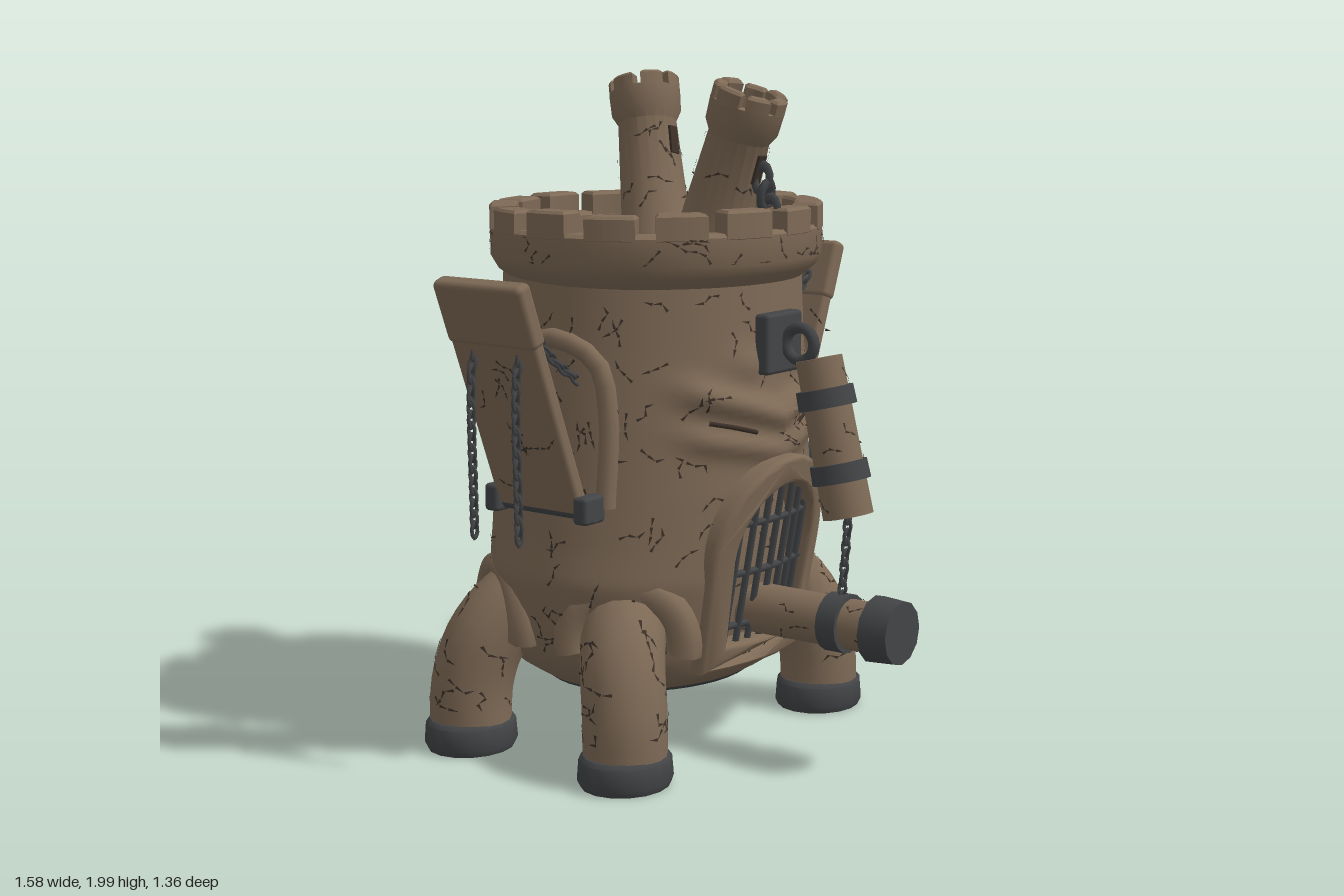
import * as THREE from 'three';
import { toCreasedNormals } from 'three/addons/utils/BufferGeometryUtils.js';
import { RoundedBoxGeometry } from 'three/addons/geometries/RoundedBoxGeometry.js';

const V = (x, y, z) => new THREE.Vector3(x, y, z);
const V2 = pts => pts.map(p => new THREE.Vector2(...p));
const mat = (name, color, side = THREE.FrontSide) => {
  const m = new THREE.MeshStandardMaterial({ color, side });
  m.name = name;
  return m;
};

// Castle wall rows: half width, height, depth to the front, depth to the back
const ZC = -0.21;
const WALL = [[0.36, 0.21, 0.3, 0.32], [0.42, 0.25, 0.37, 0.42], [0.47, 0.31, 0.395, 0.465],
  [0.5, 0.4, 0.42, 0.465], [0.53, 0.55, 0.45, 0.462], [0.515, 0.65, 0.455, 0.46], [0.5, 0.8, 0.46, 0.455],
  [0.485, 1, 0.455, 0.45], [0.47, 1.2, 0.445, 0.44], [0.455, 1.42, 0.44, 0.43]];
const ridge = (d, w) => Math.exp(-((d / w) ** 2));
// Frowning brows and cheeks stand out, the mouth is hollow
function faceRelief(x, y) {
  const ax = Math.abs(x), fade = ridge(Math.max(0, ax - 0.26), 0.06);
  const brow = 0.04 * ridge(y - 1.01 - 0.3 * ax, 0.042) * fade;
  const cheek = 0.028 * ridge(y - 0.91 - 0.2 * ax, 0.035) * fade;
  const forehead = 0.02 * ridge(y - 1.17, 0.05) * ridge(ax - 0.12, 0.06);
  const top = 0.61 + 0.22 * Math.sqrt(Math.max(0, 1 - (x / 0.215) ** 2));
  const mouth = ax < 0.215 && y > 0.33 && y < top ? -0.06 : 0;
  return mouth || brow + cheek + forehead;
}
function wallPoint(a, y, off = 0) {
  let i = 1;
  while (i < WALL.length - 1 && y > WALL[i][1]) i++;
  const lo = WALL[i - 1], hi = WALL[i], t = (y - lo[1]) / (hi[1] - lo[1]);
  const at = k => lo[k] + (hi[k] - lo[k]) * t + off;
  const c = Math.cos(a), x = at(0) * Math.sin(a);
  return V(x, y, ZC + c * at(c > 0 ? 2 : 3) + (c > 0 ? faceRelief(x, y) : 0));
}

export function createModel() {
  const root = new THREE.Group();
  const stone = mat('brown stone', 0x7e6a56);
  const iron = mat('dark iron', 0x424446);
  const crackMat = mat('crack', 0x3b3028, THREE.DoubleSide);
  let seed = 7;
  const rnd = () => (seed = (seed * 16807) % 2147483647) / 2147483647;

  const add = (name, geo, material, parent = root) => {
    const m = new THREE.Mesh(geo, material);
    m.name = name;
    parent.add(m);
    return m;
  };
  const group = (name, parent = root) => {
    const g = new THREE.Group();
    g.name = name;
    parent.add(g);
    return g;
  };
  const tube = (name, pts, r, material = stone, sides = 10) =>
    add(name, new THREE.TubeGeometry(new THREE.CatmullRomCurve3(pts), 20, r, sides), material);
  // Cylinder running from a to b
  const rod = (name, a, b, r0, r1, material, sides = 16) => {
    const m = add(name, new THREE.CylinderGeometry(r1, r0, a.distanceTo(b), sides), material);
    m.position.copy(a).lerp(b, 0.5);
    m.quaternion.setFromUnitVectors(V(0, 1, 0), b.clone().sub(a).normalize());
  };
  // Links alternate by a quarter turn along the curve
  const linkGeo = new THREE.TorusGeometry(0.014, 0.006, 5, 9).scale(0.85, 1.5, 1);
  const chain = (name, pts) => {
    const g = group(name);
    const c = new THREE.CatmullRomCurve3(pts), n = Math.round(c.getLength() / 0.031);
    for (let i = 0; i <= n; i++) {
      const link = add('link', linkGeo, iron, g);
      link.position.copy(c.getPointAt(i / n));
      link.quaternion.setFromUnitVectors(V(0, 1, 0), c.getTangentAt(i / n));
      link.rotateY(i % 2 ? Math.PI / 2 : 0);
    }
  };
  // Jagged ribbons laid on any surface given as (u, v) => point
  const cracks = (name, count, surface, [u0, u1], [v0, v1], du, dv, parent = root) => {
    const pos = [], w = 0.16;
    for (let i = 0; i < count; i++) {
      let u = u0 + rnd() * (u1 - u0), v = v0 + rnd() * (v1 - v0);
      const turn = rnd() * 6.3;
      for (let j = 0; j < 3; j++) {
        const t = turn + (rnd() - 0.5) * 1.8, c = Math.cos(t), s = Math.sin(t);
        const u2 = u + c * du, v2 = Math.min(v1, Math.max(v0, v + s * dv));
        pos.push(...surface(u - s * du * w, v + c * dv * w), ...surface(u + s * du * w, v - c * dv * w), ...surface(u2, v2));
        u = u2; v = v2;
      }
    }
    const g = new THREE.BufferGeometry();
    g.setAttribute('position', new THREE.Float32BufferAttribute(pos, 3));
    g.computeVertexNormals();
    add(name, g, crackMat, parent);
  };
  const TURN = [0, Math.PI * 2];
  // Cracks around a curve from r0 at its start to r1 at its end
  const roundCracks = (name, count, curve, r0, r1, range) => cracks(name, count, (u, v) => {
    const t = curve.getTangentAt(v), e1 = V(1, 0, 0).cross(t).normalize(), e2 = t.clone().cross(e1);
    const r = r0 + (r1 - r0) * v + 0.003;
    return curve.getPointAt(v).addScaledVector(e1, r * Math.cos(u)).addScaledVector(e2, r * Math.sin(u));
  }, TURN, range, 0.28, 0.025 / curve.getLength());
  // Ring of curved blocks standing on y = 0
  const merlons = (parent, count, rIn, rOut, h, fill) => {
    for (let i = 0; i < count; i++) {
      const half = Math.PI / count * fill * (0.9 + 0.2 * rnd()), b = 0.008;
      const s = new THREE.Shape();
      s.absarc(0, 0, rOut - b, -half, half, false);
      s.absarc(0, 0, rIn + b, half, -half, true);
      const geo = new THREE.ExtrudeGeometry(s, { depth: h * (0.85 + 0.2 * rnd()) - b, bevelSize: b, bevelThickness: b, bevelSegments: 1, curveSegments: 4 });
      add('merlon', geo.rotateX(-Math.PI / 2).rotateY(Math.PI * 2 * (i + 0.5) / count), stone, parent);
    }
  };

  // Wall with sculpted face
  const rows = Array.from({ length: 56 }, (_, i) => new THREE.Vector2(0.5, 0.21 + 1.21 * i / 55));
  const wall = new THREE.LatheGeometry(rows, 96, Math.PI);
  const wp = wall.attributes.position;
  for (let i = 0; i < wp.count; i++)
    wp.setXYZ(i, ...wallPoint(Math.atan2(wp.getX(i), wp.getZ(i)), wp.getY(i)));
  add('wall', toCreasedNormals(wall, 0.9), stone);
  const base = add('underside', new THREE.CylinderGeometry(0.365, 0.34, 0.02, 40), iron);
  base.position.set(0, 0.206, -0.22);
  base.scale.z = 0.86;

  // Parapet with roof floor
  const parapet = group('parapet');
  parapet.position.z = -0.19;
  parapet.scale.z = 0.935;
  add('rim', toCreasedNormals(new THREE.LatheGeometry(V2([[0.45, 1.395], [0.49, 1.425], [0.511, 1.46], [0.512, 1.54],
    [0.5, 1.55], [0.44, 1.55], [0.43, 1.54], [0.425, 1.485], [0, 1.495]]), 56), 0.6), stone, parapet);
  const blocks = group('merlons', parapet);
  blocks.position.y = 1.535;
  merlons(blocks, 15, 0.43, 0.513, 0.078, 0.62);
  cracks('rimCracks', 40, (u, v) => V(0.515 * Math.sin(u), v, 0.515 * Math.cos(u)), TURN, [1.465, 1.535], 0.06, 0.025, parapet);
  cracks('floorCracks', 34, (u, v) => V(v * Math.sin(u), 1.502, v * Math.cos(u)), TURN, [0.15, 0.41], 0.09, 0.03, parapet);

  // Leaning turrets
  const turret = (name, foot, top) => {
    const g = group(name);
    const axis = top.clone().sub(foot), L = axis.length();
    g.position.copy(foot);
    g.quaternion.setFromUnitVectors(V(0, 1, 0), axis.normalize());
    const pts = [[0.12, 0], [0.106, 0.07], [0.09, L - 0.14], [0.107, L - 0.11], [0.11, L - 0.04], [0.07, L - 0.04], [0.065, L - 0.09], [0, L - 0.09]];
    add('shaft', toCreasedNormals(new THREE.LatheGeometry(V2(pts), 20), 0.6), stone, g);
    const crown = group('crown', g);
    crown.position.y = L - 0.042;
    merlons(crown, 7, 0.071, 0.109, 0.045, 0.62);
    add('window', new THREE.BoxGeometry(0.035, 0.085, 0.008), crackMat, g).position.set(0, L * 0.6, 0.096);
    roundCracks('turretCracks', 16, new THREE.LineCurve3(foot, top), 0.112, 0.086, [0.2, 0.7]);
  };
  turret('frontTurret', V(0, 1.45, -0.01), V(0, 1.94, 0.152));
  turret('backTurret', V(0.165, 1.45, -0.315), V(0.27, 1.955, -0.452));
  for (let i = 0; i < 3; i++) {
    const ring = add('turretHookLink', new THREE.TorusGeometry(0.026, 0.012, 6, 12).scale(1, 1.4, 1), iron);
    ring.position.set(0, 1.69 - i * 0.045, 0.19 + i * 0.014);
    ring.rotation.set(0.2, i % 2 ? 0 : Math.PI / 2, 0);
  }

  // Legs, boots and socket collars
  for (const s of [1, -1]) for (const f of [1, -1]) {
    const P = (x, y, z) => V(s * x, y, -0.225 + f * (z + 0.225));
    const curve = new THREE.CatmullRomCurve3([P(0.49, 0.03, 0.07), P(0.485, 0.2, 0.065), P(0.45, 0.34, 0.03), P(0.36, 0.44, -0.03), P(0.2, 0.48, -0.12)]);
    add('leg', new THREE.TubeGeometry(curve, 20, 0.122, 16), stone);
    roundCracks('legCracks', 24, curve, 0.122, 0.122, [0.16, 0.6]);
    const boot = add('boot', toCreasedNormals(new THREE.LatheGeometry(
      V2([[0, 0], [0.135, 0], [0.145, 0.02], [0.14, 0.08], [0.128, 0.092], [0, 0.092]]), 16), 0.7), iron);
    boot.position.copy(P(0.49, 0, 0.07));
    boot.scale.z = 0.92;
    const collar = add('legSocket', new THREE.TorusGeometry(0.165, 0.05, 8, 20, Math.PI + 0.3).rotateZ(-0.15), stone);
    collar.position.copy(P(0.395, 0.375, 0.005));
    collar.rotation.y = Math.atan2(s * 0.85, f * 0.5);
  }

  // Mouth arch, curved with the wall and leaning forward at the top
  const arch = (w, y0, y1) => {
    const p = new THREE.Path();
    p.moveTo(-w * 0.92, y0);
    for (let i = 1; i <= 6; i++) p.lineTo(-w * 0.92 + w * 1.84 * i / 6, y0);
    p.lineTo(w, y1);
    p.absellipse(0, y1, w, w * 1.1, 0, Math.PI, false);
    p.closePath();
    return p.getPoints(10);
  };
  const mouthZ = (x, y) => 0.155 + 0.182 * y - 0.7 * x * x;
  const frameShape = new THREE.Shape(arch(0.25, 0.285, 0.61));
  frameShape.holes.push(new THREE.Path(arch(0.2, 0.335, 0.61)));
  const frame = new THREE.ExtrudeGeometry(frameShape, { depth: 0.12, bevelSize: 0.015, bevelThickness: 0.02, bevelSegments: 3 });
  const fp = frame.attributes.position;
  for (let i = 0; i < fp.count; i++)
    fp.setZ(i, fp.getZ(i) - 0.14 + mouthZ(fp.getX(i), fp.getY(i)));
  add('mouthFrame', toCreasedNormals(frame, 0.8), stone);
  const bar = (x, y) => V(x, y, mouthZ(x, y) - 0.035);
  for (const x of [-0.155, -0.105, -0.055, 0, 0.055, 0.105, 0.155])
    rod('gateBar', bar(x, 0.33), bar(x, 0.61 + 0.21 * Math.sqrt(1 - (x / 0.2) ** 2)), 0.011, 0.011, iron, 6);
  for (const y of [0.4, 0.56, 0.71])
    tube('gateCrossbar', [bar(-0.185, y), bar(0, y), bar(0.185, y)], 0.011, iron, 6);

  // Eye slits between brow and cheek
  for (const s of [1, -1])
    tube('eyeSlit', [[0.1, 0.975], [0.17, 0.995], [0.25, 1.015]].map(([x, y]) => wallPoint(s * Math.asin(x / 0.485), y, 0.002)), 0.007, crackMat, 6);

  // Hanging log nose with wall plate, ring and bands
  const n0 = V(0, 0.745, 0.495), n1 = V(0, 1.19, 0.39);
  const noseAt = t => n0.clone().lerp(n1, t);
  rod('noseLog', n0, n1, 0.074, 0.068, stone);
  roundCracks('noseCracks', 12, new THREE.LineCurve3(n0, n1), 0.074, 0.068, [0.05, 0.95]);
  for (const t of [0.28, 0.75]) rod('noseBand', noseAt(t - 0.06), noseAt(t + 0.06), 0.086, 0.084, iron);
  add('nosePlate', new RoundedBoxGeometry(0.175, 0.175, 0.05, 2, 0.012), iron).position.set(0, 1.225, 0.25);
  const ring = add('noseRing', new THREE.TorusGeometry(0.048, 0.017, 8, 16).rotateY(Math.PI / 2), iron);
  ring.position.set(0, 1.225, 0.325);

  // Battering ram tongue
  const r0 = V(0, 0.43, 0.1), r1 = V(0, 0.43, 0.61);
  rod('ramLog', r0, r1, 0.075, 0.073, stone);
  roundCracks('ramCracks', 12, new THREE.LineCurve3(r0, r1), 0.075, 0.073, [0.3, 0.95]);
  rod('ramBand', V(0, 0.43, 0.44), V(0, 0.43, 0.505), 0.086, 0.086, iron);
  rod('ramCap', V(0, 0.43, 0.59), V(0, 0.43, 0.68), 0.098, 0.092, iron, 12);
  chain('ramChain', [n0, V(0, 0.62, 0.485), V(0, 0.5, 0.475)]);

  // Side drawbridges with hinges, wall arches and chains
  for (const s of [1, -1]) {
    const door = group('drawbridge');
    door.position.set(s * 0.515, 0.77, -0.2);
    door.rotation.z = -s * 0.365;
    add('board', new RoundedBoxGeometry(0.045, 0.71, 0.31, 2, 0.015), stone, door).position.y = 0.355;
    add('headBeam', new RoundedBoxGeometry(0.056, 0.19, 0.322, 2, 0.018), stone, door).position.y = 0.62;
    for (const x of [-0.024, 0.024])
      cracks('boardCracks', 12, (u, v) => V(x, v, u), [-0.12, 0.12], [0.06, 0.5], 0.025, 0.025, door);
    rod('hinge', V(s * 0.51, 0.78, -0.39), V(s * 0.51, 0.78, -0.01), 0.03, 0.03, iron, 10);
    for (const z of [-0.365, -0.035])
      add('hingeBlock', new RoundedBoxGeometry(0.09, 0.08, 0.05, 2, 0.012), iron).position.set(s * 0.515, 0.785, z);
    const side = (z, y) => wallPoint(s * Math.acos((z - ZC) / 0.45), y, -0.004);
    tube('doorArch', [side(-0.375, 0.78), side(-0.375, 1.05), side(-0.34, 1.19), side(-0.2, 1.25), side(-0.06, 1.19), side(-0.025, 1.05), side(-0.025, 0.78)], 0.03);
    for (const z of [-0.115, -0.28]) {
      chain('liftChain', [V(s * 0.47, 1.14, z), V(s * 0.57, 1.21, z), V(s * 0.68, 1.33, z)]);
      chain('looseChain', [V(s * 0.705, 1.23, z), V(s * 0.72, 1.18, z), V(s * 0.72, s > 0 && z > -0.2 ? 0.65 : 0.73, z)]);
    }
  }

  // Weathering on the wall
  cracks('wallCracks', 210, (u, v) => wallPoint(u, v, 0.004), TURN, [0.3, 1.38], 0.06, 0.027);
  return root;
}
